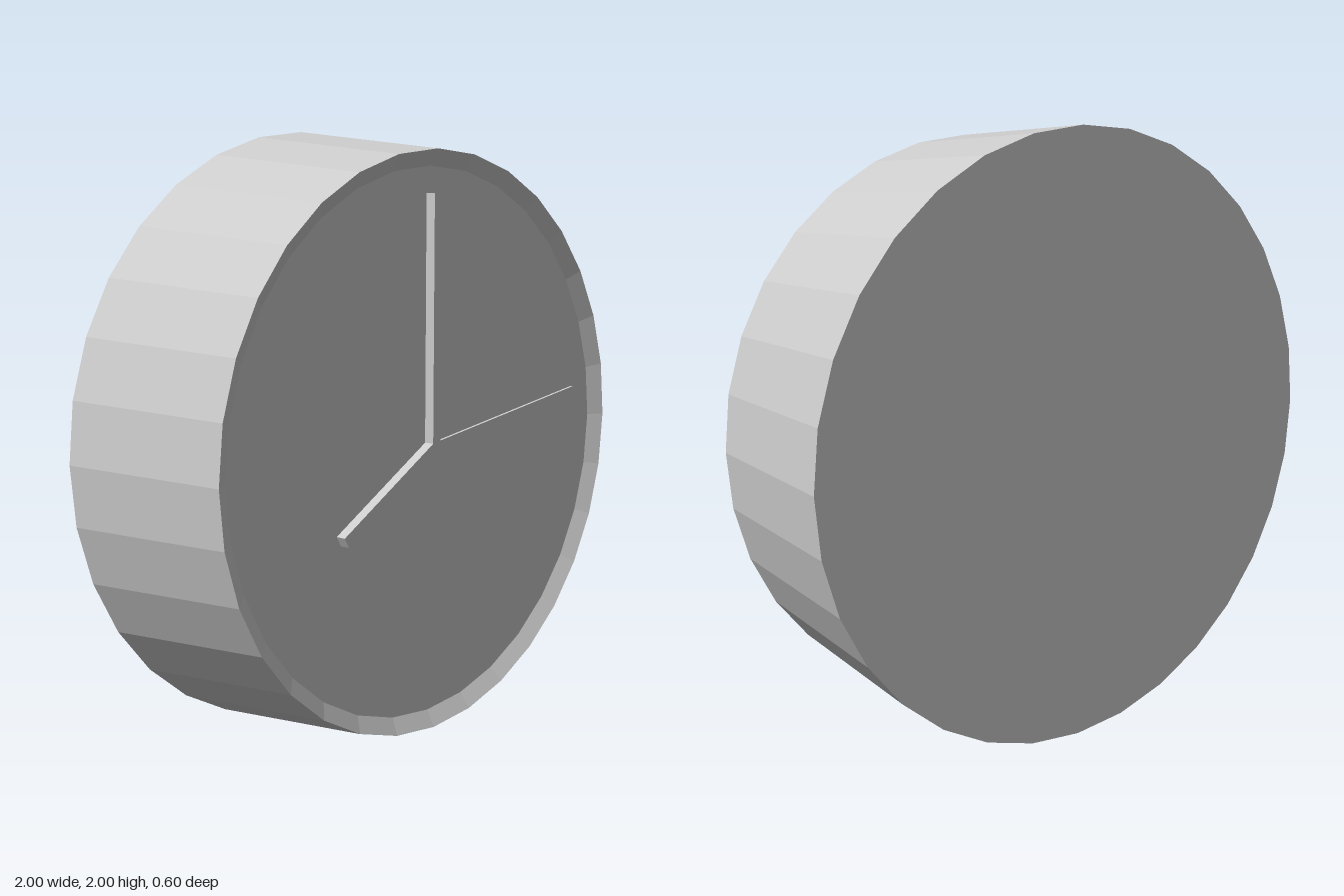
import * as THREE from 'three';

const material = new THREE.MeshStandardMaterial({ color: 0xcccccc, flatShading: true });
const FACE_Z = 0.27;

// A flat bar starting at the dial centre; angle is counter-clockwise from +x
function makeHand(name, length, width, depth, angle) {
  const geometry = new THREE.BoxGeometry(length, width, depth);
  geometry.translate(length / 2, 0, depth / 2);
  const hand = new THREE.Mesh(geometry, material);
  hand.name = name;
  hand.position.set(0, 1, FACE_Z);
  hand.rotation.z = THREE.MathUtils.degToRad(angle);
  return hand;
}

export function createModel() {
  const group = new THREE.Group();
  group.name = 'wallClock';

  // Tapered case: flat back, side wall, shallow bevel and dial
  const profile = [[0, -0.3], [1, -0.3], [0.943, 0.3], [0.89, FACE_Z], [0, FACE_Z]]
    .map(([r, z]) => new THREE.Vector2(r, z));
  const caseGeometry = new THREE.LatheGeometry(profile, 32);
  caseGeometry.rotateX(Math.PI / 2);
  const clockCase = new THREE.Mesh(caseGeometry, material);
  clockCase.name = 'caseAndDial';
  clockCase.position.y = 1;
  group.add(clockCase);

  // Hands
  group.add(
    makeHand('minuteHand', 0.805, 0.037, 0.034, 90),
    makeHand('hourHand', 0.49, 0.037, 0.034, 210),
    makeHand('secondHand', 0.79, 0.008, 0.01, 8)
  );
  return group;
}
